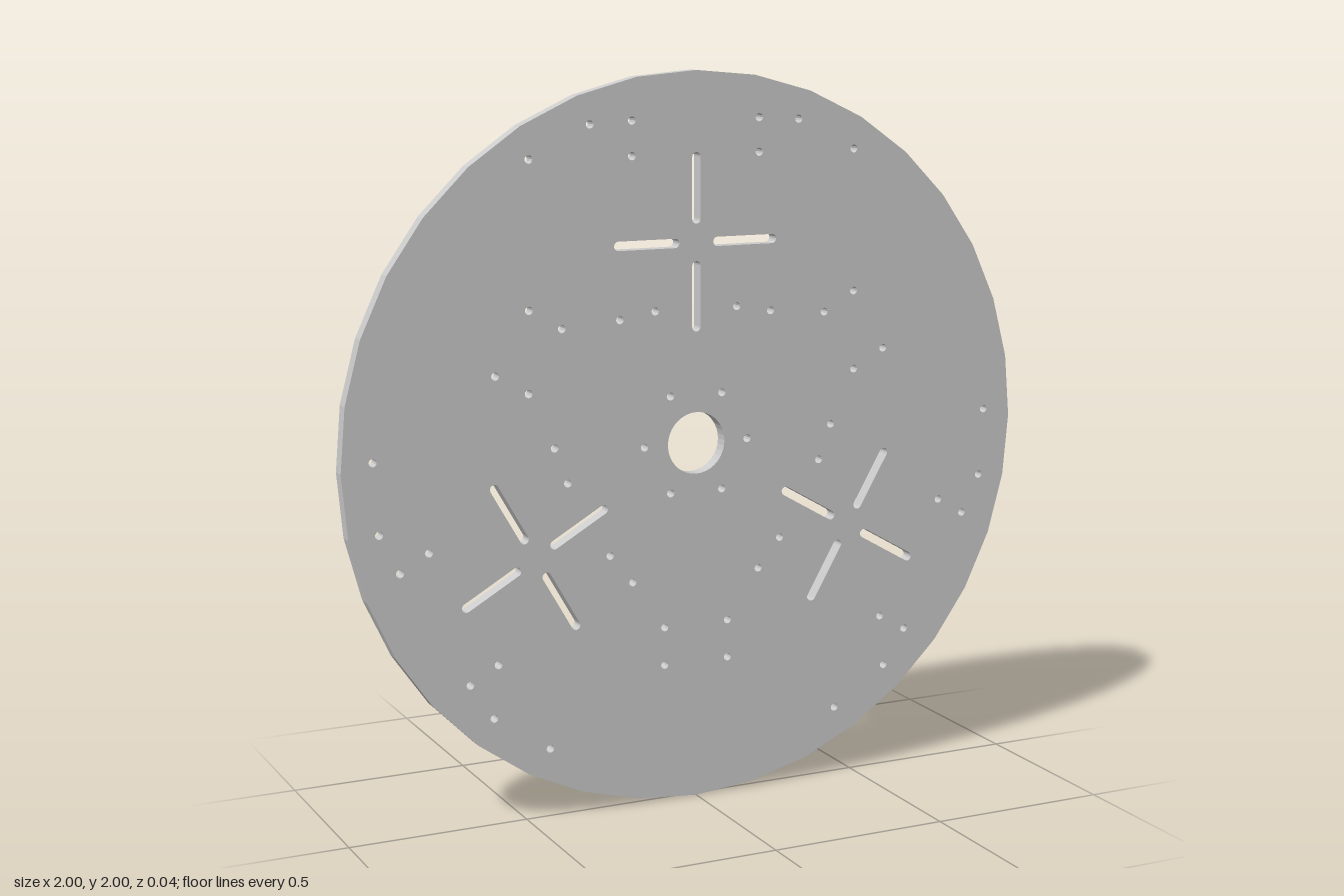
import * as THREE from 'three';

const THICK = 0.04;

// Regular polygon outline
function ring(cx, cy, r, sides) {
  const pts = [];
  for (let i = 0; i < sides; i++) {
    const a = (i / sides) * Math.PI * 2;
    pts.push(new THREE.Vector2(cx + r * Math.cos(a), cy + r * Math.sin(a)));
  }
  return pts;
}

// Round-ended slot from distance d0 to d1 along direction a, starting at (cx, cy)
function slot(cx, cy, a, d0, d1, r, steps = 8) {
  const pts = [];
  for (const [d, start] of [[d1 - r, -Math.PI / 2], [d0 + r, Math.PI / 2]]) {
    for (let i = 0; i <= steps; i++) {
      const t = start + (i / steps) * Math.PI;
      pts.push(new THREE.Vector2(d + r * Math.cos(t), r * Math.sin(t)));
    }
  }
  const centre = new THREE.Vector2(cx, cy);
  return pts.map((p) => p.rotateAround(new THREE.Vector2(), a).add(centre));
}

export function createModel() {
  const group = new THREE.Group();
  group.name = 'perforatedDisc';

  const shape = new THREE.Shape(ring(0, 0, 1, 36));
  const cut = (pts) => shape.holes.push(new THREE.Path(pts));

  // Central bore
  cut(ring(0, 0, 0.085, 36));

  // Small holes: radius from centre and degrees either side of each sector axis
  const drills = [
    [0.918, 19.5], [0.915, 31.5], [0.892, 12.1], [0.802, 13.5], [0.62, 51.1],
    [0.515, 49.3], [0.415, 32.7], [0.386, 18.3], [0.154, 30],
  ];

  // Three identical sectors
  for (let k = 0; k < 3; k++) {
    const axis = Math.PI / 2 + (k * Math.PI * 2) / 3;
    for (const [r, deg] of drills) {
      for (const side of [-1, 1]) {
        const a = axis + side * THREE.MathUtils.degToRad(deg);
        cut(ring(r * Math.cos(a), r * Math.sin(a), 0.011, 12));
      }
    }
    // Cross of four slots
    const cx = 0.545 * Math.cos(axis);
    const cy = 0.545 * Math.sin(axis);
    for (let q = 0; q < 4; q++) {
      cut(slot(cx, cy, axis + (q * Math.PI) / 2, 0.05, 0.24, 0.0125));
    }
  }

  // Plate
  const geometry = new THREE.ExtrudeGeometry(shape, { depth: THICK, bevelEnabled: false });
  geometry.translate(0, 1, -THICK / 2);
  const material = new THREE.MeshStandardMaterial({ color: 0xcccccc, flatShading: true });
  const plate = new THREE.Mesh(geometry, material);
  plate.name = 'plate';
  group.add(plate);

  return group;
}
